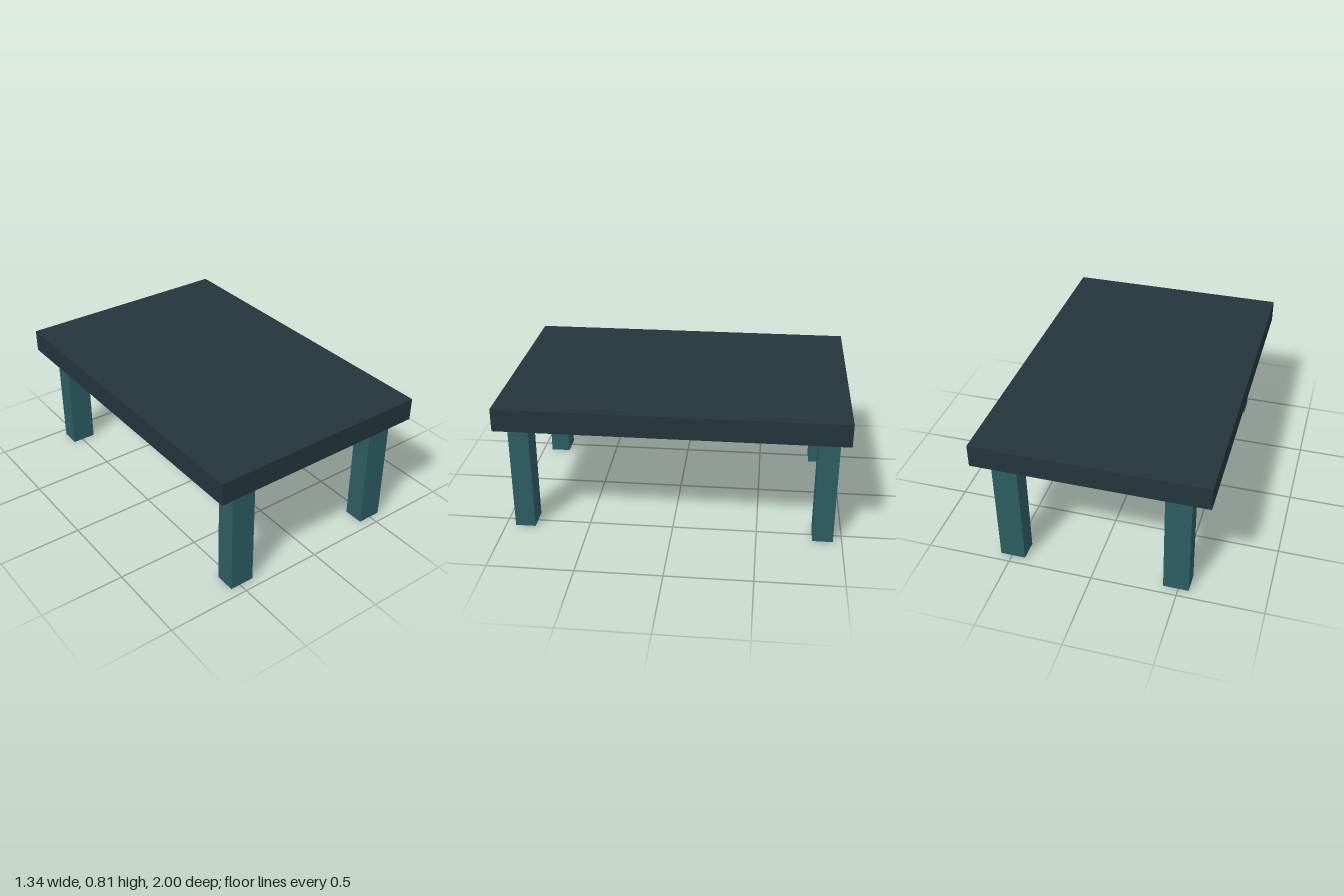
import * as THREE from 'three';

export function createModel() {
  const model = new THREE.Group();
  model.name = 'table';

  const darkSlate = new THREE.MeshStandardMaterial({ color: 0x23353b });
  darkSlate.name = 'dark slate';
  const teal = new THREE.MeshStandardMaterial({ color: 0x2d5d62 });
  teal.name = 'teal';

  const topHeight = 0.135, legHeight = 0.68;

  // Slab top
  const top = new THREE.Mesh(new THREE.BoxGeometry(1.344, topHeight, 2), darkSlate);
  top.name = 'tableTop';
  top.position.y = legHeight + topHeight / 2;
  model.add(top);

  // Four legs: teal sides, dark ends (box face order: +x, -x, +y, -y, +z, -z)
  const legGeometry = new THREE.BoxGeometry(0.148, legHeight, 0.12);
  const legMaterials = [teal, teal, darkSlate, darkSlate, teal, teal];
  for (const [zName, z] of [['front', 0.882], ['back', -0.888]]) {
    for (const [xName, x] of [['Left', 0.495], ['Right', -0.486]]) {
      const leg = new THREE.Mesh(legGeometry, legMaterials);
      leg.name = `${zName}${xName}Leg`;
      leg.position.set(x, legHeight / 2, z);
      model.add(leg);
    }
  }

  return model;
}
